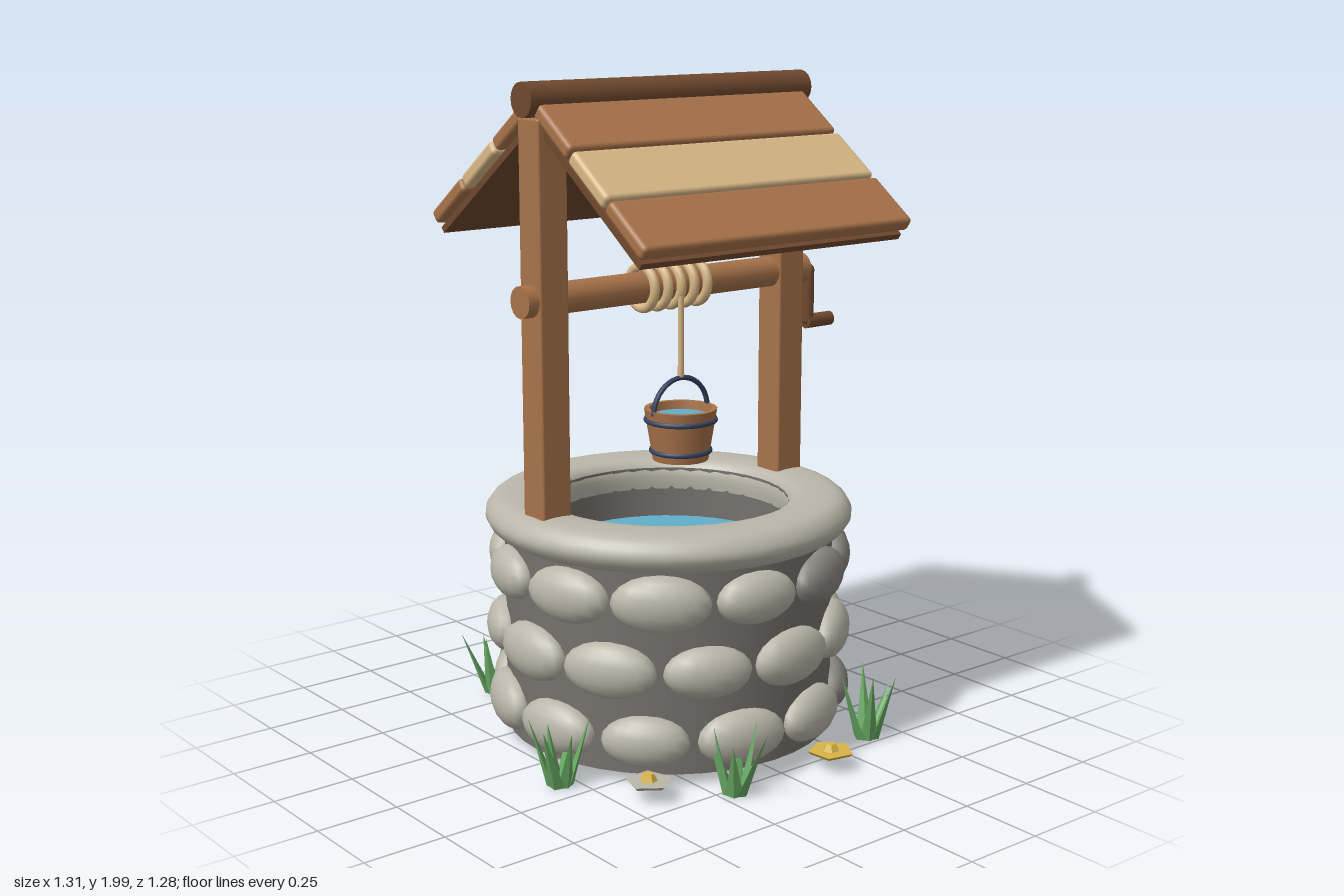
import * as THREE from 'three';
import { RoundedBoxGeometry } from 'three/addons/geometries/RoundedBoxGeometry.js';

const material = (name, color, extra = {}) => {
  const m = new THREE.MeshStandardMaterial({ color, ...extra });
  m.name = name;
  return m;
};

export function createModel() {
  const wood = material('wood', 0xa8734a);
  const darkWood = material('dark wood', 0x70492f);
  const tan = material('pale wood and rope', 0xd9b886);
  const stone = material('light stone', 0xbab6a9);
  const darkStone = material('dark stone', 0x8a8681);
  const mortar = material('mortar', 0x75716d);
  const water = material('water', 0x62aecb);
  const iron = material('iron', 0x36425f);
  const green = material('grass green', 0x67a862, { flatShading: true });
  const yellow = material('flower yellow', 0xd8b448, { flatShading: true });

  const model = new THREE.Group();
  model.name = 'wishingWell';
  const well = new THREE.Group();
  well.name = 'well';
  well.position.z = -0.027;
  model.add(well);

  const add = (parent, name, geometry, mat, x = 0, y = 0, z = 0) => {
    const mesh = new THREE.Mesh(geometry, mat);
    mesh.name = name;
    mesh.position.set(x, y, z);
    parent.add(mesh);
    return mesh;
  };
  const lathe = (points, sides) =>
    new THREE.LatheGeometry(points.map(([r, y]) => new THREE.Vector2(r, y)), sides);
  const bar = (r, length, sides = 16) =>
    new THREE.CylinderGeometry(r, r, length, sides).rotateZ(Math.PI / 2);

  // Masonry shaft: outer wall, inner wall, underside
  add(well, 'outerWall', new THREE.CylinderGeometry(0.5, 0.5, 0.63, 40, 1, true), mortar, 0, 0.355);
  add(well, 'innerWall', lathe([[0.365, 0.73], [0.365, 0.045]], 40), mortar);
  add(well, 'underside', new THREE.CircleGeometry(0.5, 40).rotateX(Math.PI / 2), mortar, 0, 0.04);
  add(well, 'wellWater', new THREE.CircleGeometry(0.367, 40).rotateX(-Math.PI / 2), water, 0, 0.57);

  // Rounded coping ring, from the underside round to the inner lip
  const rim = new THREE.SplineCurve([[0.48, 0.645], [0.525, 0.652], [0.554, 0.685], [0.554, 0.715],
    [0.53, 0.745], [0.49, 0.757], [0.42, 0.757], [0.38, 0.745], [0.362, 0.71], [0.365, 0.66]]
    .map(([r, y]) => new THREE.Vector2(r, y)));
  add(well, 'rim', new THREE.LatheGeometry(rim.getPoints(22), 36), stone);

  // Three staggered courses of bulging stones
  const stoneShape = new THREE.SphereGeometry(1, 16, 10);
  const courses = [
    { y: 0.14, offset: 19, dark: [1, 3] },
    { y: 0.347, offset: 7, dark: [3, 4] },
    { y: 0.553, offset: -8.5, dark: [1, 2, 3] },
  ];
  const count = 11;
  courses.forEach(({ y, offset, dark }, row) => {
    for (let i = 0; i < count; i++) {
      const a = THREE.MathUtils.degToRad(offset + (i * 360) / count);
      const vary = Math.sin(i * 4.7 + row * 2.3);
      const s = add(well, 'wallStone', stoneShape, dark.includes(i) ? darkStone : stone,
        Math.sin(a) * 0.497, y, Math.cos(a) * 0.497);
      s.scale.set(0.138 + 0.008 * vary, 0.082 + 0.004 * vary, 0.062);
      s.rotation.y = a;
    }
  });

  // Posts
  for (const side of [-1, 1]) {
    add(well, 'post', new RoundedBoxGeometry(0.1, 1.17, 0.1, 2, 0.008), wood, side * 0.45, 1.315);
  }

  // Roof: each slope has three planks over a thin dark board
  const pitch = THREE.MathUtils.degToRad(36.2);
  for (const side of [-1, 1]) {
    [wood, tan, wood].forEach((mat, i) => {
      const plank = add(well, 'roofPlank', new RoundedBoxGeometry(0.99, 0.045, 0.196, 2, 0.014), mat,
        0, 1.87 - 0.12 * i, side * (0.102 + 0.164 * i));
      plank.rotation.x = side * pitch;
    });
    const board = add(well, 'roofBoard', new THREE.BoxGeometry(0.96, 0.02, 0.58), darkWood,
      0, 1.71, side * 0.247);
    board.rotation.x = side * pitch;
  }
  add(well, 'ridgePole', bar(0.05, 1.04, 16), darkWood, 0, 1.95);

  // Windlass with rope coils and crank
  add(well, 'axle', bar(0.047, 1.07), wood, 0, 1.387);
  const coil = new THREE.TorusGeometry(0.062, 0.015, 10, 24).rotateY(Math.PI / 2);
  for (let i = -2; i <= 2; i++) add(well, 'ropeCoil', coil, tan, i * 0.05, 1.387);
  add(well, 'crankArm', new THREE.CapsuleGeometry(0.019, 0.16, 4, 10), darkWood, 0.565, 1.297);
  add(well, 'crankHandle', bar(0.023, 0.105, 12), darkWood, 0.607, 1.212);

  // Hanging rope and bucket
  const bucket = new THREE.Group();
  bucket.name = 'bucket';
  bucket.position.set(-0.003, 0.865, 0.062);
  well.add(bucket);
  add(bucket, 'rope', new THREE.CylinderGeometry(0.009, 0.009, 0.27, 8), tan, 0, 0.385);
  add(bucket, 'staves', new THREE.LatheGeometry([[0, 0], [0.084, 0], [0.084, 0], [0.11, 0.157],
    [0.11, 0.157], [0.094, 0.157], [0.094, 0.157], [0.085, 0.09]]
    .map(([r, y]) => new THREE.Vector2(r, y)), 20), wood);
  add(bucket, 'bucketWater', new THREE.CircleGeometry(0.093, 20).rotateX(-Math.PI / 2), water, 0, 0.132);
  for (const [r, y] of [[0.088, 0.028], [0.104, 0.122]]) {
    add(bucket, 'band', new THREE.TorusGeometry(r, 0.008, 8, 24).rotateX(Math.PI / 2), iron, 0, y);
  }
  add(bucket, 'bail', new THREE.TorusGeometry(0.103, 0.008, 8, 20, Math.PI), iron, 0, 0.145);

  // Grass tufts: flattened cones leaning outward in a fan
  const tufts = [[-0.555, 0.165], [-0.2, 0.525], [0.385, 0.46], [0.515, -0.37], [-0.28, -0.57]];
  tufts.forEach(([x, z], t) => {
    const tuft = new THREE.Group();
    tuft.name = 'grassTuft';
    tuft.position.set(x, 0.012, z);
    tuft.rotation.y = t * 1.3;
    model.add(tuft);
    for (let i = 0; i < 6; i++) {
      const h = 0.17 + 0.05 * Math.abs(Math.sin(i * 2.1 + t));
      const a = (i * Math.PI) / 3;
      const blade = add(tuft, 'grassBlade',
        new THREE.ConeGeometry(0.027, h, 4).translate(0, h / 2, 0).scale(1, 1, 0.5), green,
        Math.sin(a) * 0.026, 0, Math.cos(a) * 0.026);
      blade.rotation.set(0.2 + 0.1 * (i % 3), a, 0, 'YXZ');
    }
  });

  // Flowers: five-sided heads with a small domed centre
  for (const [x, z, mat] of [[0.138, 0.562, yellow], [0.31, -0.565, stone], [-0.415, 0.4, stone]]) {
    const flower = new THREE.Group();
    flower.name = 'flower';
    flower.position.set(x, 0.058, z);
    flower.rotation.y = x * 3;
    model.add(flower);
    add(flower, 'petals', new THREE.CylinderGeometry(0.07, 0.06, 0.01, 5), mat);
    add(flower, 'flowerCentre', new THREE.CylinderGeometry(0.015, 0.026, 0.022, 6), yellow, 0, 0.015);
  }
  return model;
}
